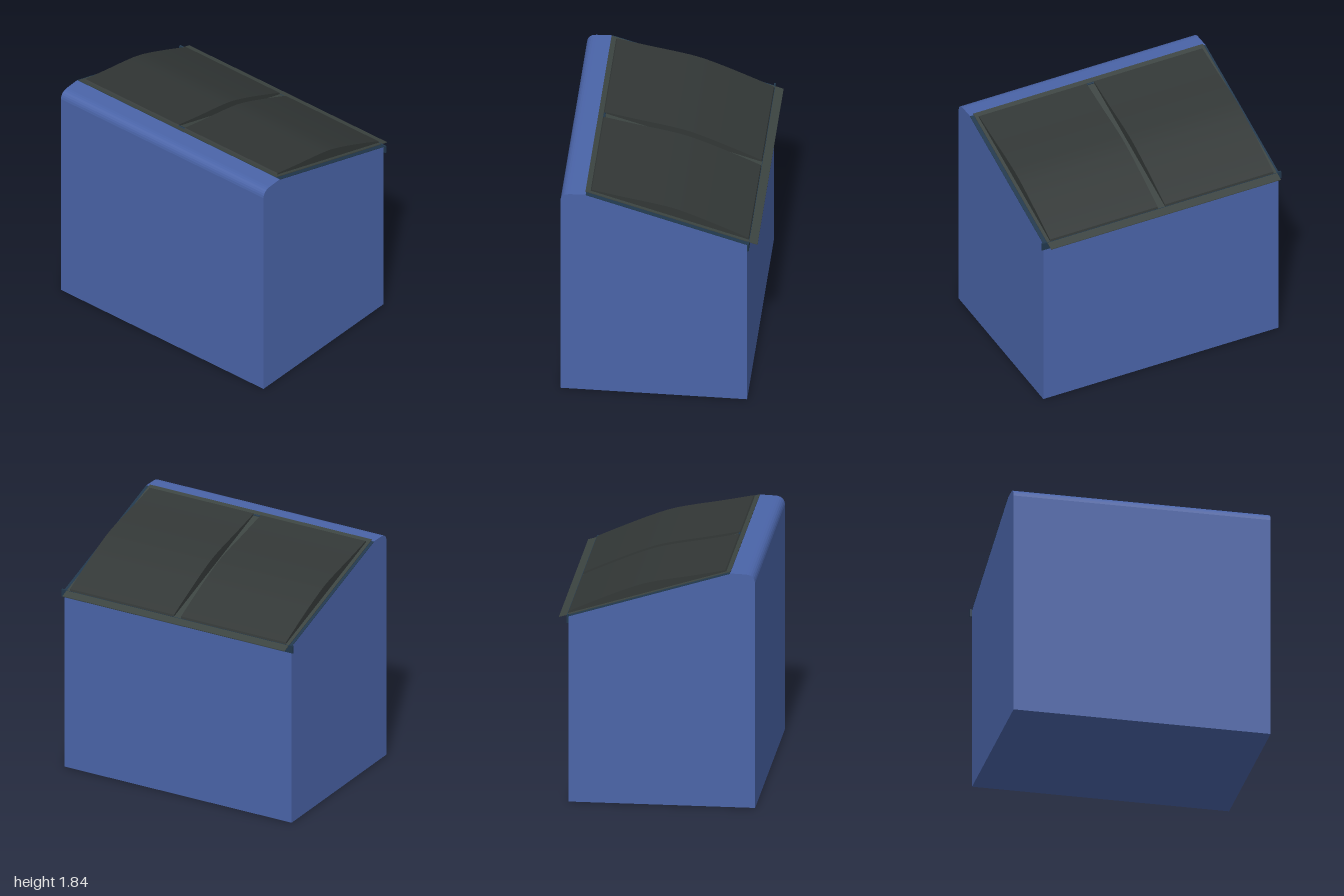
import * as THREE from 'three';

const BLUE = new THREE.MeshStandardMaterial({ color: 0x4a64a8 });
const NAVY = new THREE.MeshStandardMaterial({ color: 0x22384c });
const FRAME = new THREE.MeshStandardMaterial({ color: 0x3c4441 });
const PANEL = new THREE.MeshStandardMaterial({ color: 0x323736 });

// Heights of the sloping rim and of the lid sheet lying just above it
const rimY = (x) => 1.828 - (x + 0.55) * 0.31;
const lidY = (x) => rimY(x) + 0.01;

// Extrudes an x-y profile between two z positions
function slab(name, shape, z0, z1, material) {
  const geometry = new THREE.ExtrudeGeometry(shape, { depth: z1 - z0, bevelEnabled: false, curveSegments: 6 });
  geometry.translate(0, 0, z0);
  const mesh = new THREE.Mesh(geometry, material);
  mesh.name = name;
  return mesh;
}

// Thin sloping strip following a height rule
function strip(x0, x1, height, thickness) {
  return new THREE.Shape([
    new THREE.Vector2(x0, height(x0) - thickness),
    new THREE.Vector2(x1, height(x1) - thickness),
    new THREE.Vector2(x1, height(x1)),
    new THREE.Vector2(x0, height(x0)),
  ]);
}

export function createModel() {
  const model = new THREE.Group();
  model.name = 'storageBin';

  // Body with a rounded back top edge and a sloping top
  const side = new THREE.Shape();
  side.moveTo(-0.74, 0);
  side.lineTo(0.66, 0);
  side.lineTo(0.66, rimY(0.66) - 0.003);
  side.lineTo(-0.55, 1.828);
  side.lineTo(-0.67, 1.824);
  side.quadraticCurveTo(-0.733, 1.82, -0.74, 1.76);
  side.closePath();
  model.add(slab('body', side, -0.983, 0.983, BLUE));

  // Dark rim over the sloping top, and the lip along its low edge
  model.add(slab('rim', strip(-0.55, 0.665, rimY, 0.004), -0.984, 0.984, NAVY));
  const lip = new THREE.Mesh(new THREE.BoxGeometry(0.013, 0.06, 2), NAVY);
  lip.name = 'frontLip';
  lip.position.set(0.6665, 1.43, 0);
  model.add(lip);

  // Lid sheet overhanging the lip
  const lid = new THREE.Group();
  lid.name = 'lid';
  lid.add(slab('lidFrame', strip(-0.555, 0.735, lidY, 0.005), -0.965, 0.955, FRAME));

  // Two domed panels with a channel between them
  const dome = new THREE.Shape();
  dome.moveTo(-0.52, lidY(-0.52) - 0.002);
  dome.lineTo(0.67, lidY(0.67) - 0.002);
  dome.lineTo(0.665, 1.475);
  dome.splineThru([[0.58, 1.515], [0.4, 1.595], [0.24, 1.662], [0.1, 1.712], [-0.05, 1.747], [-0.28, 1.79], [-0.51, 1.837]]
    .map(([x, y]) => new THREE.Vector2(x, y)));
  dome.closePath();
  for (const [z0, z1] of [[-0.937, -0.03], [0.03, 0.93]]) {
    lid.add(slab('domedPanel', dome, z0, z1, PANEL));
  }
  model.add(lid);

  // Small hinge at the high end of the channel
  const hinge = new THREE.Mesh(new THREE.CylinderGeometry(0.008, 0.008, 0.06, 10), NAVY);
  hinge.name = 'hinge';
  hinge.rotation.x = Math.PI / 2;
  hinge.position.set(-0.51, lidY(-0.51), 0);
  model.add(hinge);

  return model;
}
